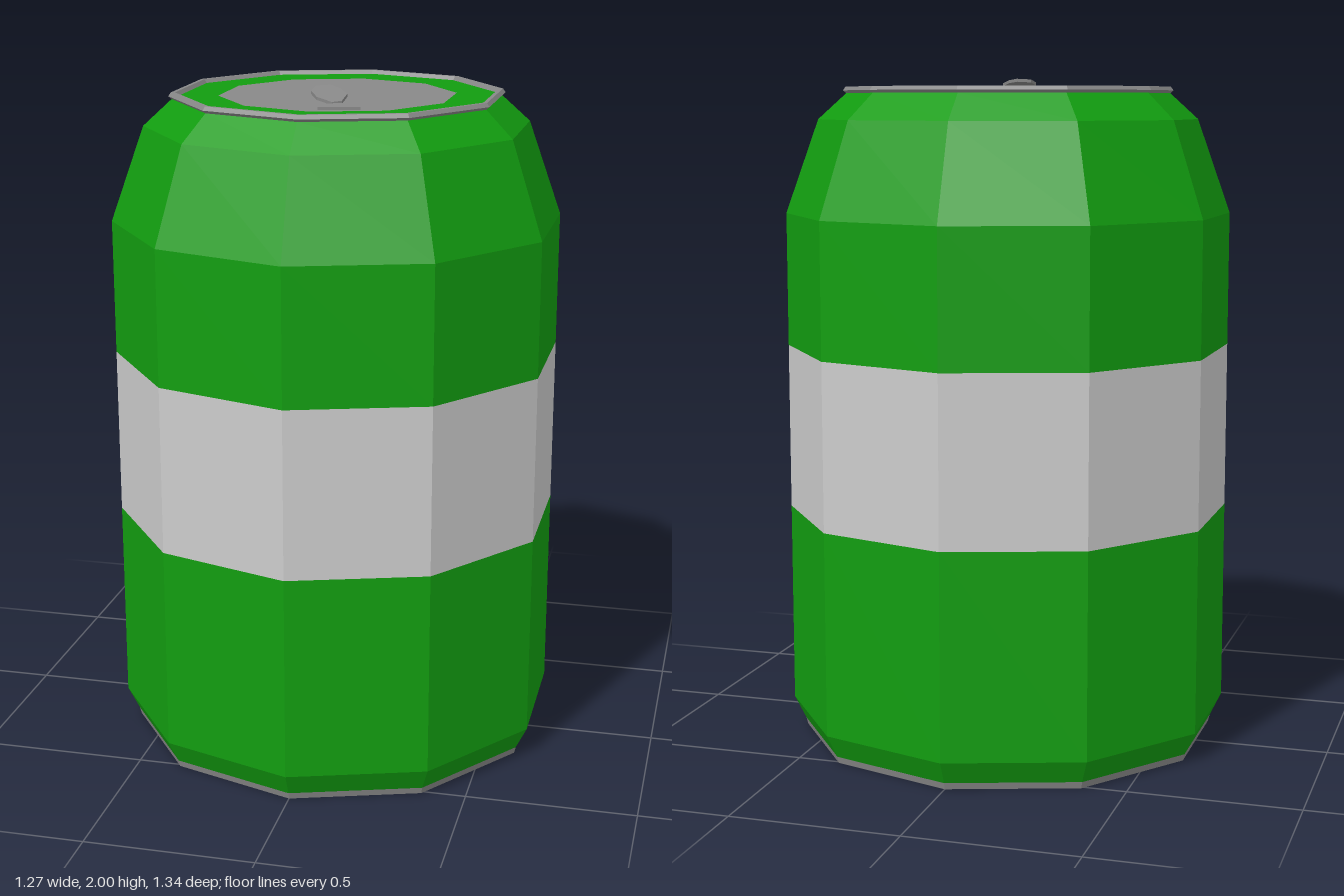
import * as THREE from 'three';

const SIDES = 10;
const paint = (color) => new THREE.MeshStandardMaterial({ color, flatShading: true });

export function createModel() {
  const can = new THREE.Group();
  can.name = 'drinkCan';
  const green = paint(0x129d10);
  const metal = paint(0x888888);
  const pale = paint(0xcccccc);

  const add = (name, geometry, material) => {
    const mesh = new THREE.Mesh(geometry, material);
    mesh.name = name;
    can.add(mesh);
    return mesh;
  };

  // ten-sided ring swept from a [radius, height] profile, listed bottom to top
  const turned = (name, profile, material) =>
    add(name, new THREE.LatheGeometry(profile.map(([r, y]) => new THREE.Vector2(r, y)), SIDES), material);

  // extruded outline of [x, z] corners lying flat, from y = 0 up to its thickness
  const plate = (outline, thickness) => {
    const shape = new THREE.Shape(outline.map(([x, z]) => new THREE.Vector2(x, -z)));
    return new THREE.ExtrudeGeometry(shape, { depth: thickness, bevelEnabled: false }).rotateX(-Math.PI / 2);
  };

  // base with a shallow recess and foot rim
  turned('base', [[0, 0.006], [0.6, 0.006], [0.605, 0], [0.63, 0], [0.635, 0.02]], metal);

  // wall, split around the pale band
  turned('lowerWall', [[0.635, 0.02], [0.67, 0.09], [0.67, 0.7]], green);
  turned('band', [[0.67, 0.7], [0.67, 1.2]], pale);
  turned('upperWall', [[0.67, 1.2], [0.67, 1.6], [0.57, 1.88], [0.485, 1.957]], green);

  // raised rim and the recessed top
  turned('topRim', [[0.483, 1.955], [0.495, 1.965], [0.487, 1.976], [0.475, 1.976], [0.467, 1.965]], metal);
  turned('topBorder', [[0.468, 1.965], [0.35, 1.965]], green);
  turned('lid', [[0.35, 1.965], [0, 1.965]], metal);

  // pull tab, tilted up towards the middle of the lid
  const tab = plate([[-0.05, 0.07], [-0.01, 0.055], [0.025, 0.085], [0.06, 0.14],
    [0.06, 0.21], [0.035, 0.225], [-0.02, 0.18], [-0.05, 0.125]], 0.009);
  const p = tab.attributes.position;
  for (let i = 0; i < p.count; i++) {
    p.setY(i, p.getY(i) + 1.966 + (0.225 - p.getZ(i)) * 0.147);
  }
  tab.computeVertexNormals();
  add('pullTab', tab, metal);

  // mouth panel in front of the tab
  const mouth = plate([[0, 0.25], [0.11, 0.205], [0.13, 0.285], [0.015, 0.315]], 0.01);
  add('mouthPanel', mouth, metal).position.y = 1.963;

  return can;
}
